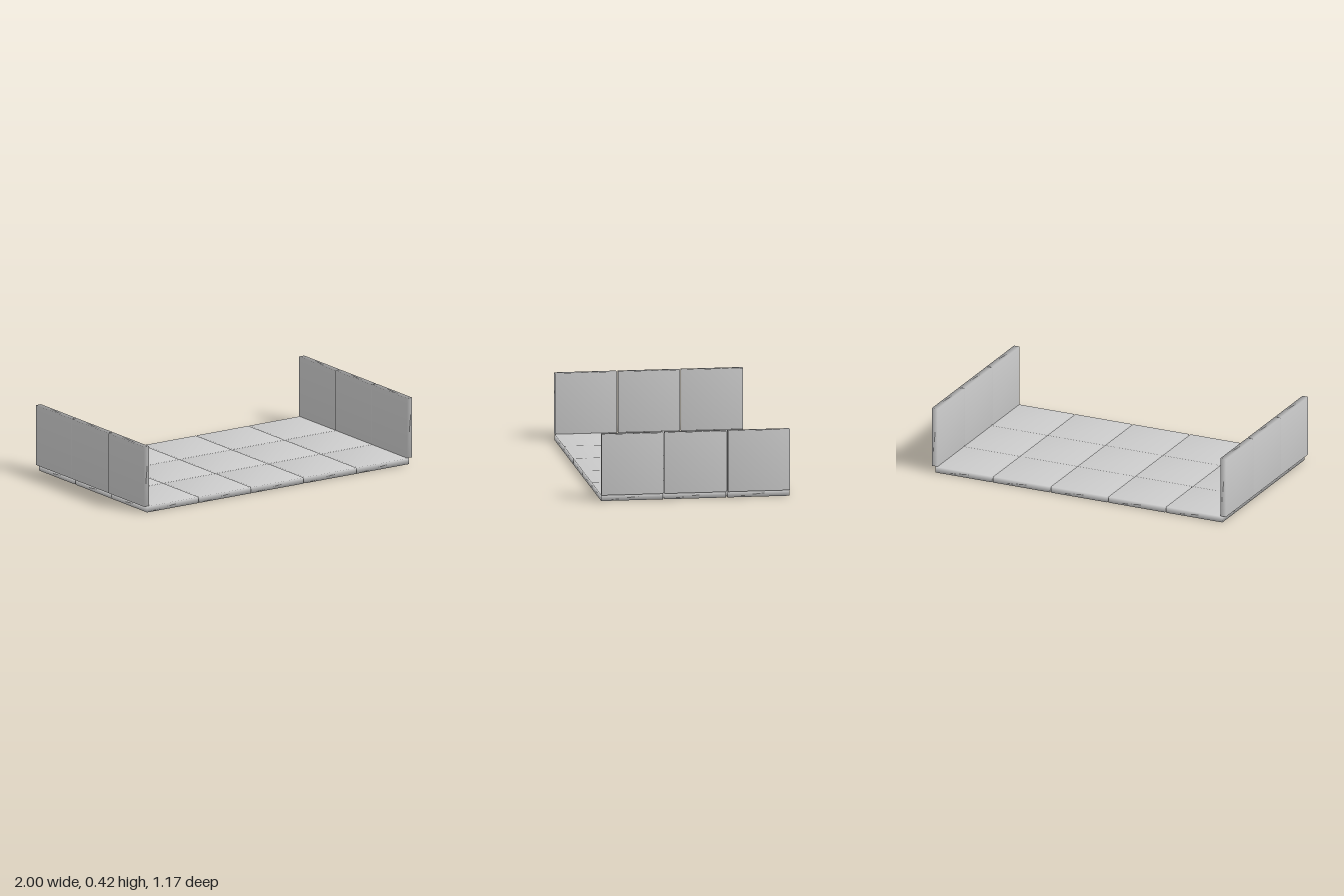
import * as THREE from 'three';
import { mergeVertices } from 'three/addons/utils/BufferGeometryUtils.js';

const SIZE = 0.383, PITCH = 0.392, THICK = 0.038;

// Thin slab with normals smoothed over its shared corners
function slab(w, h, d) {
  const box = new THREE.BoxGeometry(w, h, d);
  box.deleteAttribute('normal');
  box.deleteAttribute('uv');
  const geometry = mergeVertices(box);
  geometry.computeVertexNormals();
  return geometry;
}

export function createModel() {
  const model = new THREE.Group();
  model.name = 'tiledFloorWithEndWalls';
  const material = new THREE.MeshStandardMaterial({ color: 0xcccccc });
  const floorGeometry = slab(SIZE, THICK, SIZE);
  const wallGeometry = slab(THICK, SIZE - 0.003, SIZE);

  const addTile = (name, geometry, x, y, z) => {
    const tile = new THREE.Mesh(geometry, material);
    tile.name = name;
    tile.position.set(x, y, z);
    model.add(tile);
  };

  for (let row = -1; row <= 1; row++) {
    // Floor: five tiles across in each of three rows
    for (let column = -2; column <= 2; column++) {
      addTile('floorTile', floorGeometry, column * PITCH, THICK / 2, row * PITCH);
    }
    // Upright tiles standing along both ends
    for (const side of [-1, 1]) {
      addTile(side > 0 ? 'leftWallTile' : 'rightWallTile', wallGeometry,
        side * (1 - THICK / 2), 0.23, row * PITCH);
    }
  }
  return model;
}
